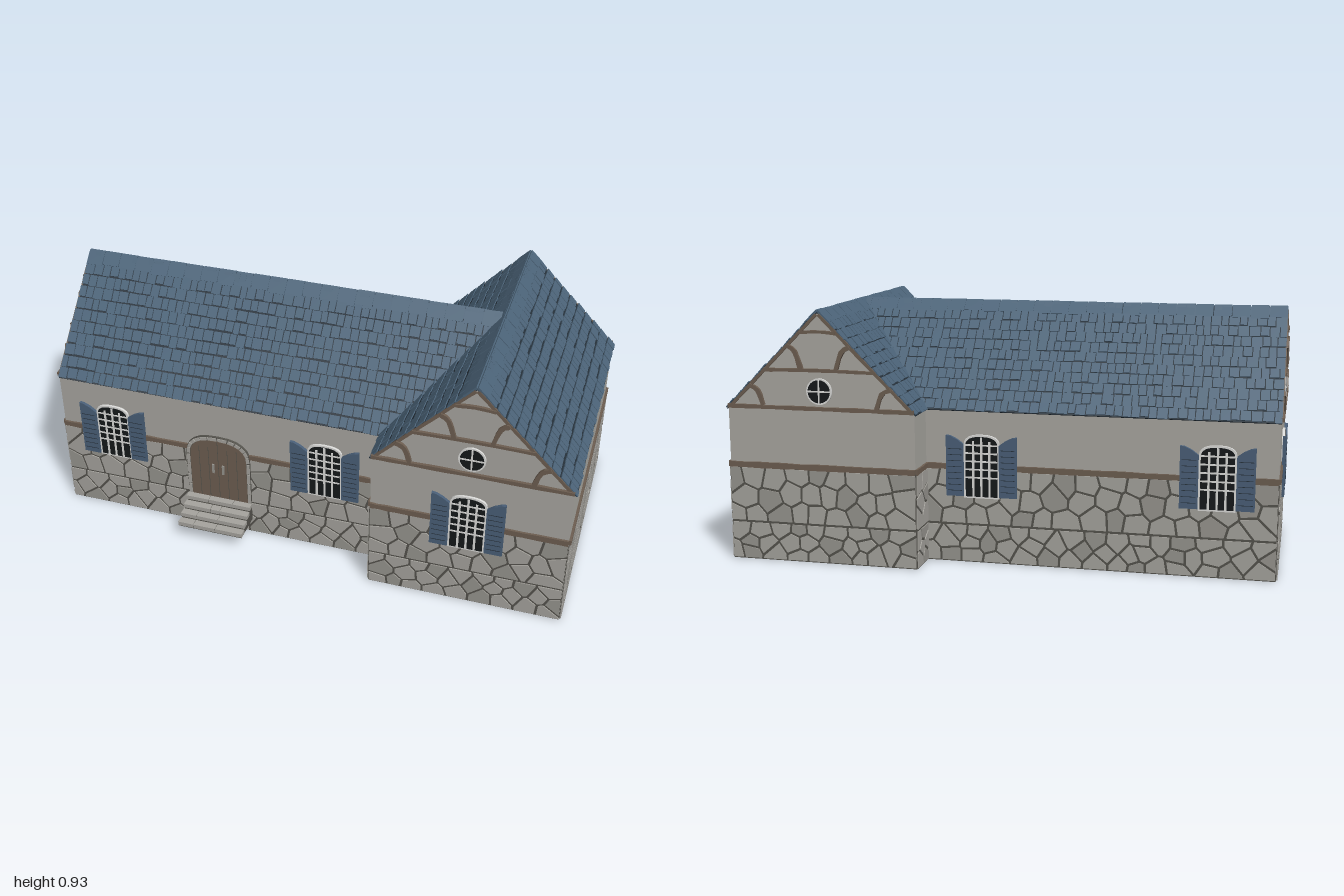
import * as THREE from 'three';
import { mergeGeometries } from 'three/addons/utils/BufferGeometryUtils.js';

const mat = (name, color, side = THREE.FrontSide) => {
  const m = new THREE.MeshStandardMaterial({ color, side });
  m.name = name;
  return m;
};
const M = {
  plaster: mat('plaster', 0xa9a7a1, THREE.DoubleSide),
  stone: mat('stone', 0xa6a49e),
  stoneDark: mat('darker stone', 0x97958f),
  mortar: mat('mortar', 0x55534d),
  wood: mat('wood', 0x6d5e51),
  tile: mat('roof tile', 0x4c6479),
  gap: mat('tile gap', 0x25303a),
  shutter: mat('shutter blue', 0x4a5f78),
  frame: mat('window frame', 0xdcdcda),
  glass: mat('dark glass', 0x15181a),
};

let seed = 7;
const rnd = () => (seed = (seed * 16807) % 2147483647) / 2147483647;
const jit = (a) => (rnd() - 0.5) * 2 * a;

function add(parent, name, geos, material) {
  const list = [].concat(geos);
  const mesh = new THREE.Mesh(list.length > 1 ? mergeGeometries(list) : list[0], material);
  mesh.name = name;
  parent.add(mesh);
  return mesh;
}
function group(parent, name, x = 0, y = 0, z = 0) {
  const g = new THREE.Group();
  g.name = name;
  g.position.set(x, y, z);
  parent.add(g);
  return g;
}
// Box given by its limits on each axis
const box = (x0, x1, y0, y1, z0, z1) =>
  new THREE.BoxGeometry(x1 - x0, y1 - y0, z1 - z0).translate((x0 + x1) / 2, (y0 + y1) / 2, (z0 + z1) / 2);
// Flat polygon extruded from z0 to z1
const plate = (pts, z0, z1) =>
  new THREE.ExtrudeGeometry(new THREE.Shape(pts.map((p) => new THREE.Vector2(p[0], p[1]))),
    { depth: z1 - z0, bevelEnabled: false }).translate(0, 0, z0);
// Outline with a flattened arch on top
function archPts(hw, y0, spring, top) {
  const pts = [[-hw, y0], [hw, y0]];
  for (let i = 0; i <= 12; i++) {
    const a = (i / 12) * Math.PI;
    const c = Math.cos(a);
    pts.push([Math.sign(c) * hw * Math.abs(c) ** 0.8, spring + (top - spring) * Math.sin(a) ** 0.8]);
  }
  return pts;
}
// Hewn timber following a curve, slightly uneven in width
function timber(pts, w, z1 = 0.011) {
  const curve = new THREE.SplineCurve(pts.map((p) => new THREE.Vector2(p[0], p[1])));
  const n = Math.max(6, Math.ceil(curve.getLength() / 0.05));
  const a = [], b = [];
  for (let i = 0; i <= n; i++) {
    const p = curve.getPoint(i / n), t = curve.getTangent(i / n);
    const h = (w / 2) * (1 + jit(0.15));
    a.push([p.x + t.y * h, p.y - t.x * h]);
    b.unshift([p.x - t.y * h, p.y + t.x * h]);
  }
  return plate(a.concat(b), 0, z1);
}

// Keep the part of a polygon where n.p <= d
function clip(poly, nx, ny, d) {
  const out = [];
  poly.forEach((p, i) => {
    const q = poly[(i + 1) % poly.length];
    const a = p[0] * nx + p[1] * ny - d, b = q[0] * nx + q[1] * ny - d;
    if (a <= 0) out.push(p);
    if (a * b < 0) out.push([p[0] + ((q[0] - p[0]) * a) / (a - b), p[1] + ((q[1] - p[1]) * a) / (a - b)]);
  });
  return out;
}
// Rubble stones: inset Voronoi cells of a jittered grid
function rubble(x0, x1, y0, y1, rows) {
  const cols = Math.max(1, Math.round((x1 - x0) / 0.082));
  const sx = (x1 - x0) / cols, sy = (y1 - y0) / rows, gap = 0.0045;
  const pts = [];
  for (let j = 0; j < rows; j++) for (let i = 0; i < cols; i++)
    pts.push([x0 + (i + 0.5 + (j % 2 ? 0.25 : -0.25) + jit(0.3)) * sx, y0 + (j + 0.5 + jit(0.3)) * sy]);
  const out = [];
  for (const p of pts) {
    let poly = [[x0 + 0.001, y0 + gap], [x1 - 0.001, y0 + gap], [x1 - 0.001, y1 - gap], [x0 + 0.001, y1 - gap]];
    for (const q of pts) {
      const dx = q[0] - p[0], dy = q[1] - p[1], l = Math.hypot(dx, dy);
      if (l === 0 || l > 0.3) continue;
      poly = clip(poly, dx / l, dy / l, (p[0] * dx + p[1] * dy) / l + l / 2 - gap);
      if (poly.length < 3) break;
    }
    if (poly.length > 2) out.push(plate(poly, 0.003, 0.007));
  }
  return out;
}

// Arched casement with bars and a pair of open shutters
function windowUnit(parent, x) {
  const g = group(parent, 'window', x);
  add(g, 'windowSurround', plate(archPts(0.066, 0.243, 0.44, 0.478), -0.005, 0.009), M.frame);
  add(g, 'windowGlass', plate(archPts(0.059, 0.249, 0.437, 0.471), -0.007, 0.0105), M.glass);
  const bars = [-0.03, 0, 0.03].map((b) => box(b - 0.004, b + 0.004, 0.249, b ? 0.455 : 0.47, -0.009, 0.0125));
  for (const y of [0.32, 0.35, 0.38, 0.41, 0.44]) bars.push(box(-0.059, 0.059, y - 0.003, y + 0.003, -0.009, 0.0125));
  add(g, 'windowBars', bars, M.frame);
  for (const s of [-1, 1]) {
    const pts = [[0.066, 0.25], [0.131, 0.25], [0.131, 0.474], [0.115, 0.472], [0.09, 0.46], [0.066, 0.442]];
    const outline = pts.map((p) => [p[0] * s, p[1]]);
    add(g, 'shutter', plate(outline, 0.004, 0.016), M.shutter);
    const slots = [];
    for (let y = 0.27; y < 0.44; y += 0.022) slots.push(box(s * 0.0985 - 0.026, s * 0.0985 + 0.026, y, y + 0.002, 0.015, 0.017));
    add(g, 'shutterSlots', slots, M.gap);
  }
}

// Double door with arched stone surround and entrance steps
function doorUnit(parent, x) {
  const g = group(parent, 'door', x);
  add(g, 'doorJoint', plate(archPts(0.128, 0.14, 0.33, 0.424), 0, 0.010), M.mortar);
  const inner = archPts(0.114, 0.14, 0.33, 0.409), outer = archPts(0.126, 0.14, 0.33, 0.422);
  const blocks = [];
  for (let i = 2; i < inner.length - 1; i++) {
    const mix = (a, b, t) => [a[0] + (b[0] - a[0]) * t, a[1] + (b[1] - a[1]) * t];
    blocks.push(plate([mix(inner[i], inner[i + 1], 0.06), mix(outer[i], outer[i + 1], 0.06),
      mix(outer[i], outer[i + 1], 0.94), mix(inner[i], inner[i + 1], 0.94)], 0.004, 0.013));
  }
  for (const s of [-1, 1]) for (let j = 0; j < 4; j++)
    blocks.push(box(s * 0.12 - 0.006, s * 0.12 + 0.006, 0.141 + j * 0.047, 0.184 + j * 0.047, 0.004, 0.013));
  add(g, 'doorSurround', blocks.map((b) => b.index ? b.toNonIndexed() : b), M.stone);
  add(g, 'doorLeaves', plate(archPts(0.112, 0.14, 0.33, 0.407), -0.007, 0.012), M.wood);
  add(g, 'doorPlankJoints', [-0.075, -0.038, 0, 0.038, 0.075].map((p) =>
    box(p - 0.001, p + 0.001, 0.145, p ? 0.375 : 0.406, 0.011, 0.0128)), M.mortar);
  add(g, 'doorHandles', [-0.02, 0.02].map((p) => box(p - 0.004, p + 0.004, 0.26, 0.3, 0.011, 0.018)), M.stoneDark);
  const steps = [], cores = [];
  for (let i = 0; i < 4; i++) {
    const top = 0.142 - i * 0.019, z = 0.038 + i * 0.031;
    cores.push(box(-0.127, 0.127, 0.064, top - 0.003, 0, z - 0.003));
    const cuts = [-0.13, -0.045 + jit(0.03), 0.045 + jit(0.03), 0.13];
    for (let k = 0; k < 3; k++) steps.push(box(cuts[k] + 0.001, cuts[k + 1] - 0.001, top - 0.016, top, Math.max(0, z - 0.0295), z));
  }
  add(g, 'stepCore', cores, M.mortar);
  add(g, 'stepSlabs', steps, M.stone);
}

// Gable timbering and round window, centred on the gable axis
function gableTrim(parent) {
  const g = group(parent, 'gableTimbering');
  const beams = [timber([[-0.352, 0.574], [0.352, 0.574]], 0.014), timber([[-0.21, 0.71], [0, 0.713], [0.21, 0.71]], 0.012),
    timber([[-0.068, 0.847], [0, 0.852], [0.068, 0.847]], 0.011)];
  for (const s of [-1, 1]) {
    beams.push(timber([[s * 0.268, 0.652], [s * 0.235, 0.635], [s * 0.215, 0.58]], 0.016));
    beams.push(timber([[s * 0.118, 0.8], [s * 0.088, 0.78], [s * 0.066, 0.715]], 0.016));
    beams.push(timber([[s * 0.347, 0.57], [s * 0.004, 0.913]], 0.012, 0.006));
  }
  add(g, 'gableBeams', beams, M.wood);
  const disc = (r, d) => new THREE.CylinderGeometry(r, r, d, 24).rotateX(Math.PI / 2).translate(0, 0.637, 0);
  add(g, 'roundWindowFrame', disc(0.048, 0.014), M.frame);
  add(g, 'roundWindowGlass', disc(0.042, 0.017), M.glass);
  add(g, 'roundWindowCross', [box(-0.003, 0.003, 0.595, 0.679, -0.01, 0.01), box(-0.042, 0.042, 0.634, 0.64, -0.01, 0.01)], M.frame);
}

// Pitched roof with its ridge along local x: deck, tile courses, ridge caps
function pitchedRoof(parent, name, length, x) {
  const roof = group(parent, name, x);
  const L = 0.508, rows = 11, h = L / rows;
  for (const side of [0, 1]) {
    const turn = group(roof, 'roofSide');
    turn.rotation.y = side * Math.PI;
    const slope = group(turn, 'roofSlope', 0, 0.563, 0.359);
    slope.rotation.x = -Math.PI / 4;
    add(slope, 'roofDeck', box(-length / 2 + 0.003, length / 2 - 0.003, 0, L, -0.003, 0.001),
      [M.gap, M.gap, M.gap, M.gap, M.gap, M.wood]);
    const tiles = [];
    for (let r = 0; r < rows; r++) {
      let u = -length / 2;
      while (u < length / 2 - 0.004) {
        let w = 0.033 + jit(0.009);
        if (length / 2 - u - w < 0.015) w = length / 2 - u;
        const low = r * h + 0.002 + jit(0.004), t = 0.005 + rnd() * 0.003;
        tiles.push(new THREE.BoxGeometry(w - 0.0035, (r + 1) * h - low - 0.003, 0.004).rotateX(0.07)
          .rotateZ(jit(0.03)).translate(u + w / 2, (low + (r + 1) * h - 0.003) / 2, t - 0.002));
        u += w;
      }
    }
    add(slope, 'roofTiles', tiles, M.tile);
    const n = Math.round(length / 0.066), caps = [];
    for (let i = 0; i < n; i++) {
      const u = -length / 2 + (i * length) / n;
      caps.push(box(u + 0.0015, u + length / n - 0.0015, L - 0.054 + jit(0.005), L + 0.003, 0, 0.007 + rnd() * 0.002));
    }
    add(slope, 'ridgeCaps', caps, M.tile);
  }
  return roof;
}

export function createModel() {
  const house = new THREE.Group();
  house.name = 'cottage';
  // Footprint corners (x, z) and what each wall carries, in local x from the wall centre
  const P = [[-0.985, 0.357], [0.28, 0.357], [0.28, 0.491], [0.986, 0.491], [0.986, -0.491], [0.28, -0.491], [0.28, -0.357], [-0.985, -0.357]];
  const midX = (-0.985 + 0.28) / 2;
  const walls = [
    { name: 'frontWall', windows: [-0.775 - midX, 0.07 - midX], door: -0.35 - midX },
    { name: 'wingInnerFrontWall' },
    { name: 'wingFrontWall', windows: [0], gable: true },
    { name: 'wingSideWall' },
    { name: 'wingBackWall', gable: true },
    { name: 'wingInnerBackWall' },
    { name: 'backWall', windows: [midX + 0.775, midX - 0.07] },
    { name: 'endWall', windows: [0], gable: true },
  ];
  walls.forEach((spec, i) => {
    const a = P[i], b = P[(i + 1) % P.length];
    const dx = b[0] - a[0], dz = b[1] - a[1], hw = Math.hypot(dx, dz) / 2;
    const wall = group(house, spec.name, (a[0] + b[0]) / 2, 0, (a[1] + b[1]) / 2);
    wall.rotation.y = Math.atan2(-dz, dx);
    const outline = [[-hw, 0], [hw, 0], [hw, 0.565]];
    if (spec.gable) outline.push([0, 0.918]);
    outline.push([-hw, 0.565]);
    add(wall, 'plasterWall', new THREE.ShapeGeometry(new THREE.Shape(outline.map((p) => new THREE.Vector2(...p)))), M.plaster);
    add(wall, 'mortarBed', box(-hw, hw, 0, 0.35, 0.001, 0.003), M.mortar);
    const stones = [...rubble(-hw, hw, 0, 0.143, 3), ...rubble(-hw, hw, 0.143, 0.35, 3)];
    const dark = stones.filter((_, k) => k % 4 === 1), light = stones.filter((_, k) => k % 4 !== 1);
    add(wall, 'wallStones', light, M.stone);
    if (dark.length) add(wall, 'darkWallStones', dark, M.stoneDark);
    add(wall, 'beltTimber', timber([[-hw, 0.357], [hw, 0.357]], 0.02, 0.0085), M.wood);
    (spec.windows || []).forEach((x) => windowUnit(wall, x));
    if (spec.door !== undefined) doorUnit(wall, spec.door);
    if (spec.gable) gableTrim(wall);
  });
  // Main roof runs into the wing roof; the two meet in valleys
  pitchedRoof(house, 'mainRoof', 1.61, -0.185);
  pitchedRoof(house, 'wingRoof', 0.994, 0.633).rotation.y = Math.PI / 2;
  return house;
}
